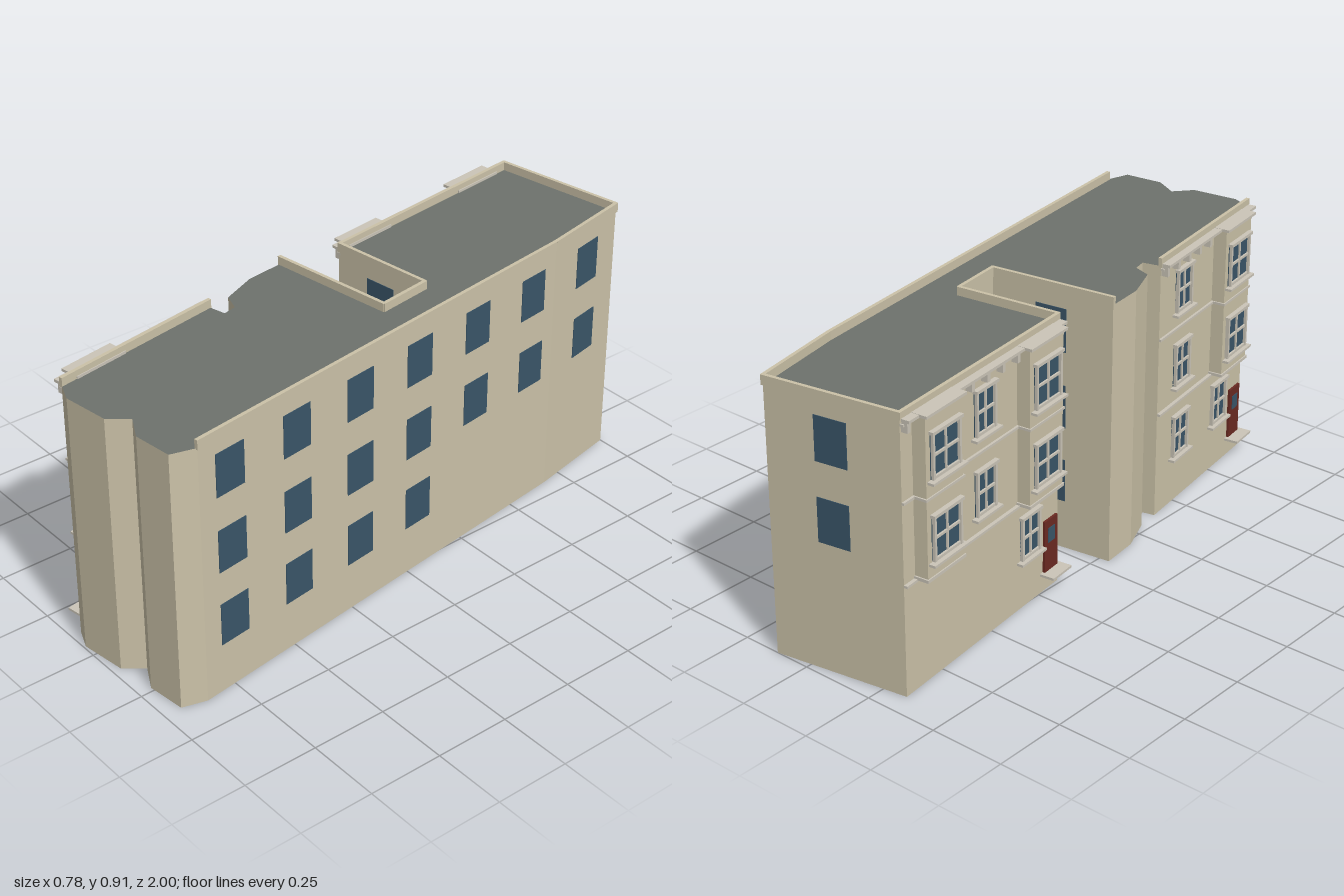
import * as THREE from 'three';

const mat = (color) => new THREE.MeshStandardMaterial({ color, flatShading: true });
const wallMat = mat(0xcbc2a8), roofMat = mat(0x6e726c), glassMat = mat(0x3a5568);
const trimMat = mat(0xcbc5b8), doorMat = mat(0x6b2a22);

// Footprint corners [x, z]; the outside lies to the local +z of each edge
const P = [
  [0.12, -1], [-0.33, -0.925], [-0.235, -0.145], [0.115, -0.19], [0.14, -0.01],
  [-0.285, 0.05], [-0.27, 0.18], [-0.22, 0.3], [-0.16, 0.32], [-0.15, 0.365],
  [-0.21, 0.38], [-0.117, 0.965], [-0.05, 0.993], [0.105, 0.972], [0.155, 0.912],
  [0.235, 0.955], [0.365, 0.94], [0.388, 0.86], [0.185, -0.675],
];
const WALL_H = 0.88, TOP = 0.908;
const ROWS = [0.24, 0.497, 0.755]; // window centre heights
const WIN_H = 0.145;

// Box spanning y0..y1 and z0..z1 (outward), centred on x
function box(parent, name, material, x, w, y0, y1, z0, z1) {
  const m = new THREE.Mesh(new THREE.BoxGeometry(w, y1 - y0, z1 - z0), material);
  m.position.set(x, (y0 + y1) / 2, (z0 + z1) / 2);
  m.name = name;
  parent.add(m);
  return m;
}

// Group lying along footprint edge i: x runs along the wall, z points outward
function facade(root, i, name) {
  const a = P[i], b = P[(i + 1) % P.length];
  const dx = b[0] - a[0], dz = b[1] - a[1];
  const g = new THREE.Group();
  g.name = name;
  g.position.set(a[0], 0, a[1]);
  g.rotation.y = Math.atan2(-dz, dx);
  root.add(g);
  const length = Math.hypot(dx, dz);
  return { g, length, at: (z) => ((z - a[1]) / dz) * length };
}

const plainWindow = (g, x, y) =>
  box(g, 'plainWindow', glassMat, x, 0.11, y - WIN_H / 2, y + WIN_H / 2, -0.004, 0.002);

// Framed sash window standing on the plane z
function sashWindow(g, x, y, w, z) {
  const win = new THREE.Group();
  win.name = 'sashWindow';
  win.position.set(x, y, z);
  g.add(win);
  const h = WIN_H / 2, t = 0.009;
  box(win, 'glass', glassMat, 0, w, -h, h, -0.004, 0.003);
  for (const s of [-1, 1]) box(win, 'jamb', trimMat, s * (w / 2 - t / 2), t, -h, h, 0, 0.012);
  box(win, 'mullion', trimMat, 0, 0.007, -h, h, 0, 0.008);
  box(win, 'meetingRail', trimMat, 0, w, -0.004, 0.004, 0, 0.009);
  box(win, 'bottomRail', trimMat, 0, w, -h, -h + t, 0, 0.01);
  box(win, 'head', trimMat, 0, w + 0.01, h - 0.006, h + 0.004, 0, 0.016);
  box(win, 'sill', trimMat, 0, w + 0.03, -h - 0.01, -h - 0.002, 0, 0.022);
}

// Two-storey projecting bay
function bay(g, x, w) {
  const d = 0.045;
  const b = new THREE.Group();
  b.name = 'bay';
  b.position.x = x;
  g.add(b);
  box(b, 'bayBody', wallMat, 0, w, 0.375, 0.88, -0.01, d);
  box(b, 'bayBase', trimMat, 0, w + 0.01, 0.365, 0.375, -0.01, d + 0.004);
  box(b, 'bayBand', trimMat, 0, w + 0.01, 0.622, 0.63, -0.01, d + 0.004);
  box(b, 'bayCap', trimMat, 0, w + 0.015, 0.88, 0.889, -0.01, d + 0.012);
  for (const y of ROWS.slice(1)) sashWindow(b, 0, y, w - 0.04, d);
}

// Entrance with door, glazed light, surround and step
function entrance(g, x) {
  const e = new THREE.Group();
  e.name = 'entrance';
  e.position.x = x;
  g.add(e);
  box(e, 'door', doorMat, 0, 0.07, 0.066, 0.243, -0.004, 0.008);
  box(e, 'doorLight', glassMat, 0, 0.035, 0.165, 0.215, 0, 0.01);
  box(e, 'doorStep', trimMat, 0, 0.1, 0.059, 0.067, -0.004, 0.05);
}

// Street side: strings, cornice, brackets, bays, windows and door
function streetFacade(root, i, name, spec) {
  const { g, length, at } = facade(root, i, name);
  const mid = length / 2;
  box(g, 'lowerString', trimMat, mid, length, 0.36, 0.368, -0.004, 0.012);
  box(g, 'upperString', trimMat, mid, length, 0.622, 0.63, -0.004, 0.008);
  box(g, 'cornice', trimMat, mid, length, 0.879, 0.888, -0.004, 0.032);
  box(g, 'corniceBed', trimMat, mid, length, 0.864, 0.871, -0.004, 0.012);
  const n = Math.round(length / 0.075);
  for (let k = 0; k <= n; k++)
    box(g, 'bracket', trimMat, 0.012 + (k / n) * (length - 0.024), 0.014, 0.845, 0.88, -0.004, 0.022);
  for (const z of spec.bays) bay(g, at(z), 0.175);
  for (const [z, rows] of spec.windows)
    for (const r of rows) sashWindow(g, at(z), ROWS[r], 0.1, 0);
  entrance(g, at(spec.door));
}

export function createModel() {
  const root = new THREE.Group();
  root.name = 'building';

  // Main block: wall sides with a dark flat roof
  const shape = new THREE.Shape(P.map(([x, z]) => new THREE.Vector2(x, -z)));
  const block = new THREE.Mesh(
    new THREE.ExtrudeGeometry(shape, { depth: WALL_H, bevelEnabled: false }).rotateX(-Math.PI / 2),
    [roofMat, wallMat]);
  block.name = 'mainBlock';
  root.add(block);

  // Parapets along the straight walls
  for (const i of [0, 1, 2, 3, 4, 10, 17, 18]) {
    const { g, length } = facade(root, i, 'parapetRun');
    box(g, 'parapet', wallMat, length / 2, length + 0.008, 0.876, TOP, -0.007, 0.005);
  }

  // Long rear wall: a grid of plain windows
  const rear = facade(root, 17, 'rearWall');
  [0.742, 0.478, 0.215, -0.043, -0.306, -0.57].forEach((z, c) => {
    ROWS.forEach((y, r) => { if (r > 0 || c < 4) plainWindow(rear.g, rear.at(z), y); });
  });
  const rearEnd = facade(root, 18, 'rearWallEnd');
  for (const y of ROWS.slice(1)) plainWindow(rearEnd.g, rearEnd.at(-0.85), y);

  // End wall and the two facing walls of the light court
  for (const [i, name, rows] of [[0, 'endWall', [1, 2]], [2, 'courtWall', [0, 1, 2]], [4, 'courtWall', [0, 1, 2]]]) {
    const { g, length } = facade(root, i, name);
    for (const r of rows) plainWindow(g, length * 0.49, ROWS[r]);
  }

  // Street side, either side of the court
  streetFacade(root, 1, 'backStreetFacade', {
    bays: [-0.785, -0.275], windows: [[-0.53, [1, 2]], [-0.3, [0]]], door: -0.19 });
  streetFacade(root, 10, 'frontStreetFacade', {
    bays: [0.82], windows: [[0.53, [0, 1, 2]], [0.8, [0]]], door: 0.915 });

  return root;
}
